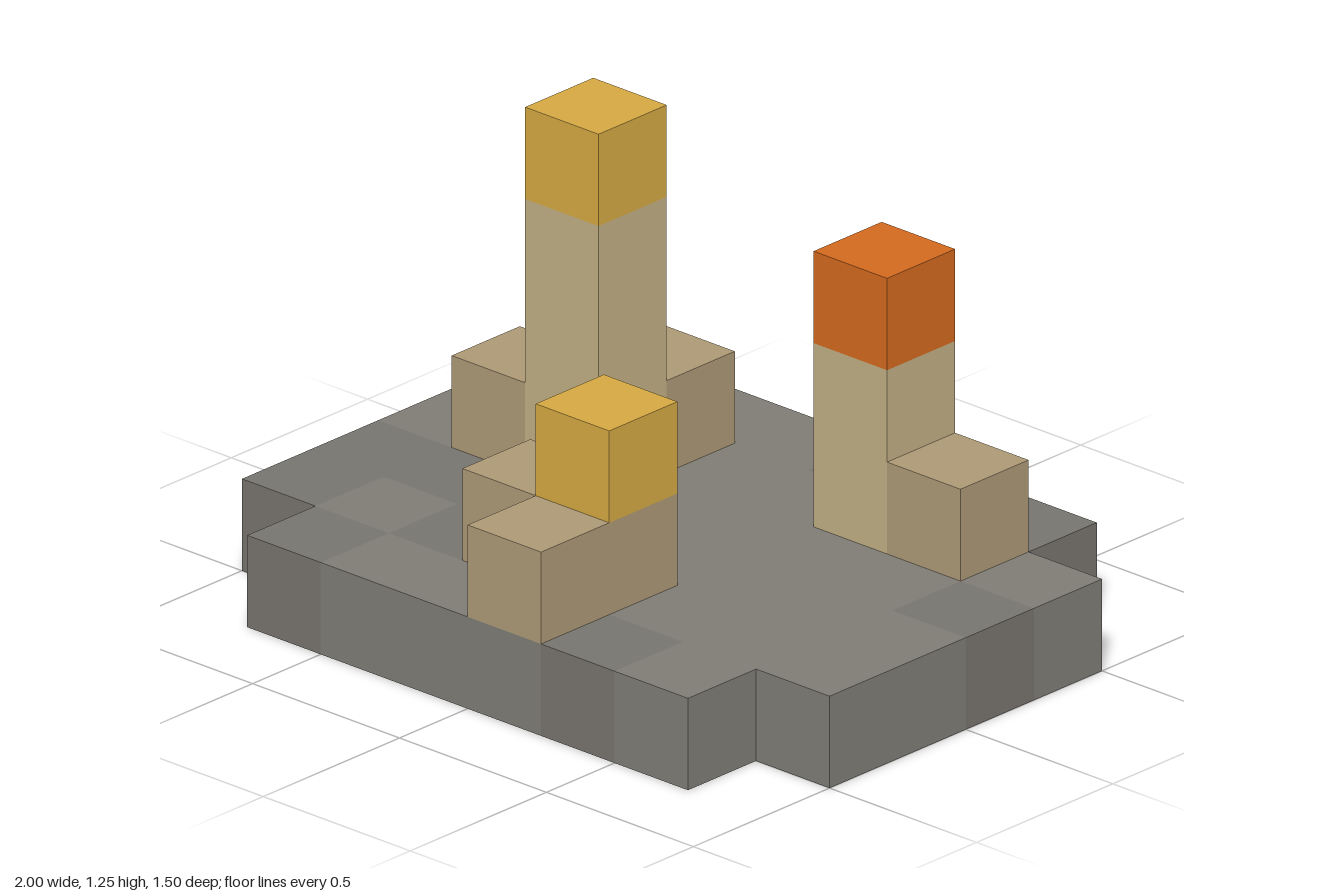
import * as THREE from 'three';
import { mergeGeometries } from 'three/addons/utils/BufferGeometryUtils.js';

const S = 0.25; // edge of one block

// Each letter is one kind of block
const KINDS = {
  D: ['slabDarkStone', 0x77746f],
  L: ['slabLightStone', 0x7f7c75],
  s: ['stubStone', 0xac9976],
  p: ['pillarStone', 0xc1ae84],
  y: ['yellowCap', 0xd4a843],
  o: ['orangeCap', 0xd2691e],
};

// Floor slab: rows run from back to front, letters from -x to +x
const SLAB = [
  '.DLLDLD.',
  'LLLLLLLL',
  'LLLLLLLD',
  'DDDLLLLL',
  'DLDLLLLL',
  '.DLLLDL.',
];

// Stacks standing on the slab: column, row, blocks from bottom to top
const STACKS = [
  [2, 2, 'pppy'], [1, 2, 's'], [2, 1, 's'], // tall pillar with two stubs
  [4, 4, 'sy'], [3, 4, 's'], [4, 5, 's'],   // short pillar with two stubs
  [5, 1, 'ppo'], [6, 1, 's'],               // orange pillar with one stub
];

// Outward directions and the turn that aims a plane's +z along them
const SIDES = [
  [1, 0, 0, 0, Math.PI / 2], [-1, 0, 0, 0, -Math.PI / 2],
  [0, 1, 0, -Math.PI / 2, 0], [0, -1, 0, Math.PI / 2, 0],
  [0, 0, 1, 0, 0], [0, 0, -1, 0, Math.PI],
];

export function createModel() {
  const model = new THREE.Group();
  model.name = 'ruinedPillars';

  // Fill the block grid
  const blocks = new Map();
  const put = (x, y, z, kind) => blocks.set(`${x},${y},${z}`, { x, y, z, kind });
  SLAB.forEach((row, z) => [...row].forEach((k, x) => { if (k !== '.') put(x, 0, z, k); }));
  STACKS.forEach(([x, z, kinds]) => [...kinds].forEach((k, i) => put(x, i + 1, z, k)));

  // Keep only the faces that touch air, gathered by kind
  const faces = {};
  for (const { x, y, z, kind } of blocks.values()) {
    for (const [dx, dy, dz, rx, ry] of SIDES) {
      if (blocks.has(`${x + dx},${y + dy},${z + dz}`)) continue;
      const face = new THREE.PlaneGeometry(S, S).rotateX(rx).rotateY(ry);
      face.translate(
        (x - 3.5 + dx / 2) * S,
        (y + 0.5 + dy / 2) * S,
        (z - 2.5 + dz / 2) * S,
      );
      (faces[kind] ??= []).push(face);
    }
  }

  // One mesh per kind of block
  for (const [kind, list] of Object.entries(faces)) {
    const [name, color] = KINDS[kind];
    const mesh = new THREE.Mesh(mergeGeometries(list), new THREE.MeshStandardMaterial({ color }));
    mesh.name = name;
    model.add(mesh);
  }
  return model;
}
